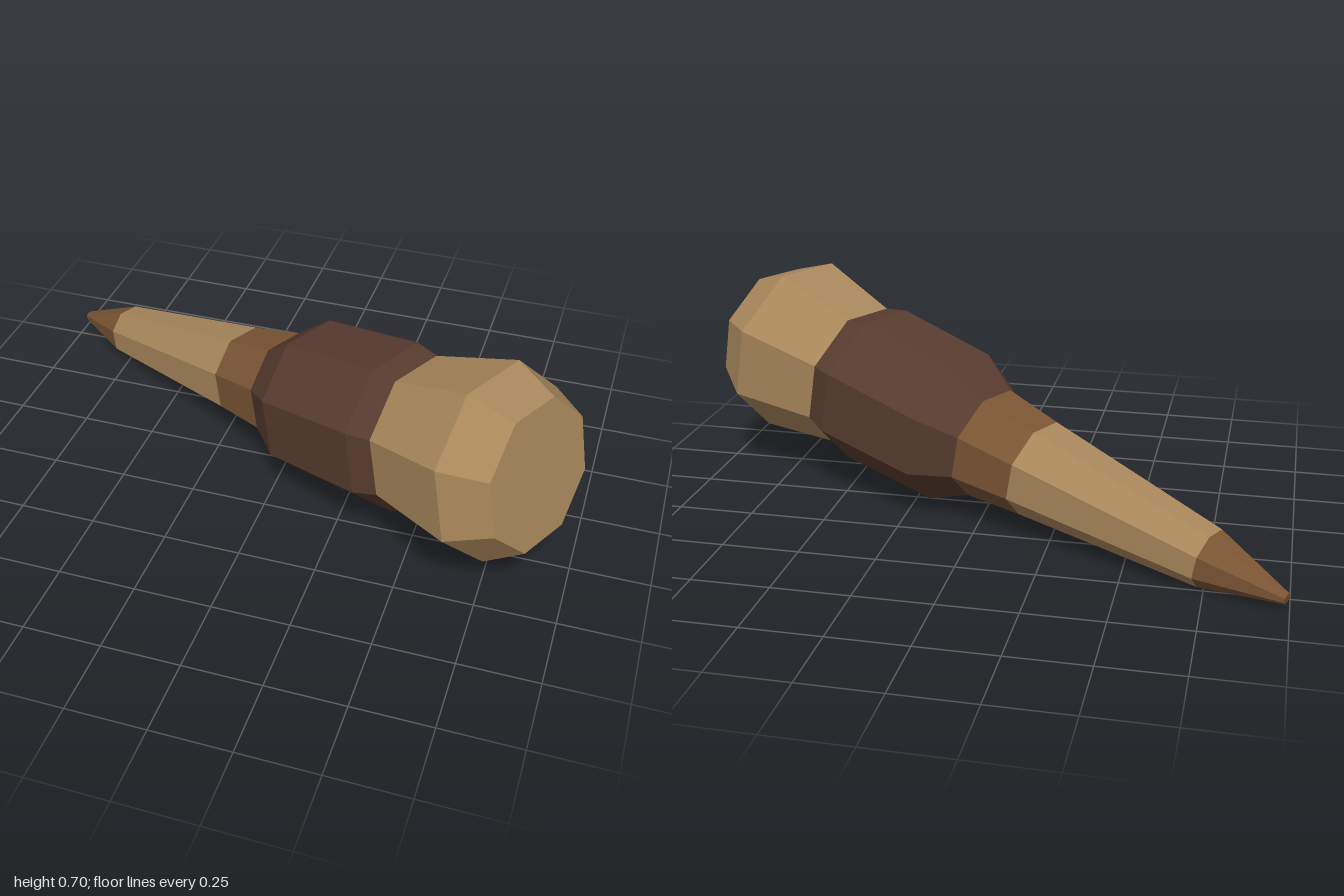
import * as THREE from 'three';

const flat = (name, color) => {
  const m = new THREE.MeshStandardMaterial({ color, flatShading: true });
  m.name = name;
  return m;
};

export function createModel() {
  const tan = flat('tan', 0xa9875c);
  const brown = flat('brown', 0x7b5535);
  const darkBrown = flat('darkBrown', 0x583b2f);

  // Each part is an eight-sided turned section: [radius, distance along the axis from the tip]
  const parts = [
    ['tip', brown, [[0, 0], [0.018, 0], [0.094, 0.262]]],
    ['taperedShaft', tan, [[0.094, 0.262], [0.16, 0.91]]],
    ['neckBand', brown, [[0.16, 0.91], [0.186, 1.114]]],
    ['grip', darkBrown, [[0.186, 1.114], [0.259, 1.244], [0.273, 1.62], [0.25, 1.7]]],
    ['head', tan, [[0.25, 1.7], [0.31, 2.0], [0.237, 2.14], [0, 2.14]]],
  ];

  const body = new THREE.Group();
  body.name = 'turnedBody';
  for (const [name, material, profile] of parts) {
    const points = profile.map(([r, t]) => new THREE.Vector2(r, t));
    const mesh = new THREE.Mesh(new THREE.LatheGeometry(points, 8, Math.PI / 8), material);
    mesh.name = name;
    body.add(mesh);
  }

  // Lean the axis from the tip to the raised head, keeping a flat side upward
  const axis = new THREE.Vector3(1.875, 0.405, 0.95).normalize();
  const side = new THREE.Vector3().crossVectors(axis, new THREE.Vector3(0, 1, 0)).normalize();
  const up = new THREE.Vector3().crossVectors(side, axis);
  body.quaternion.setFromRotationMatrix(new THREE.Matrix4().makeBasis(side, axis, up));
  body.position.set(-0.99, 0.04, -0.57);

  const model = new THREE.Group();
  model.name = 'model';
  model.add(body);
  return model;
}
